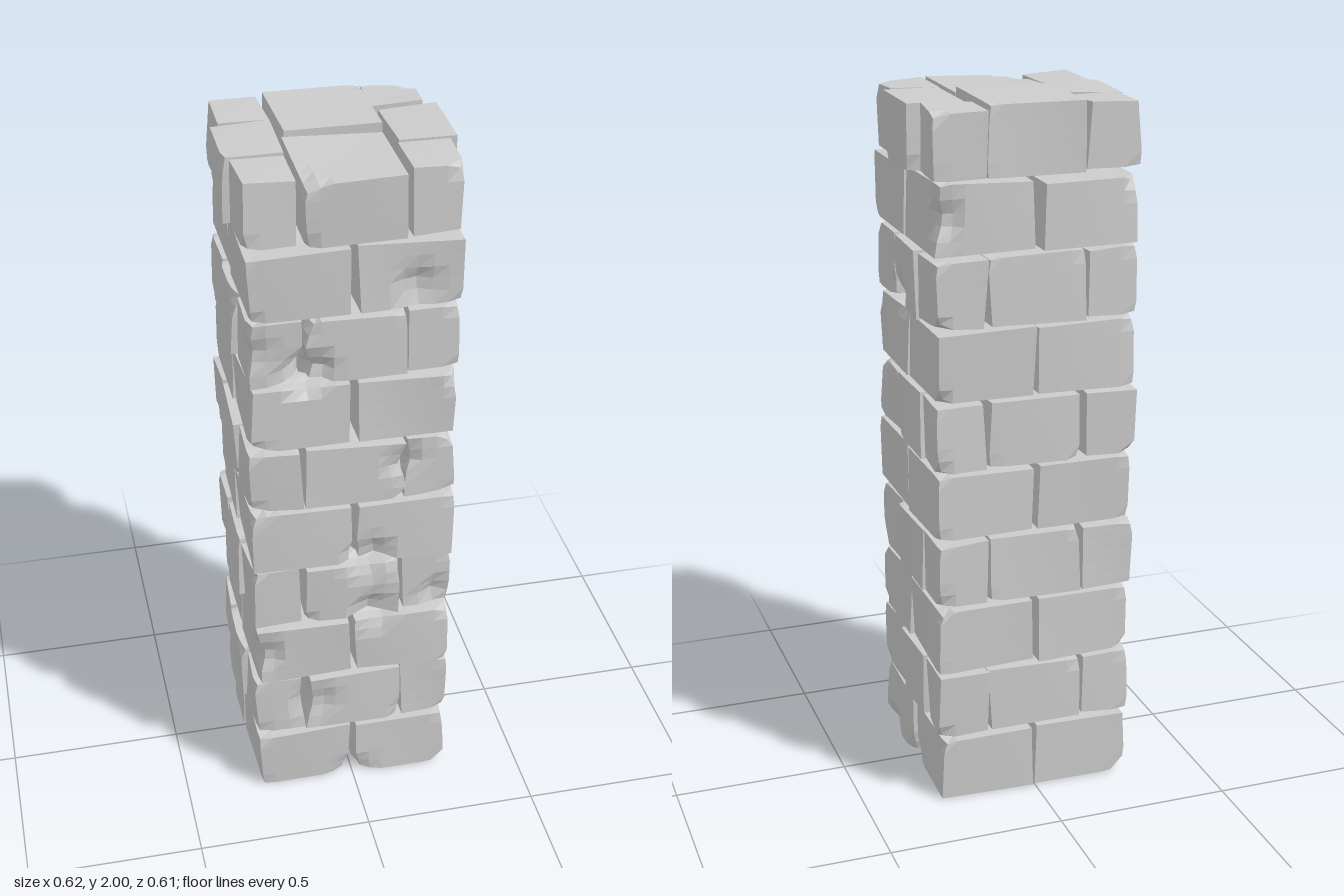
import * as THREE from 'three';

const COURSE = 0.2, GAP = 0.013;

// Small seeded generator so that every brick wears differently but repeatably
function seeded(seed) {
  let s = seed;
  return () => {
    s = (s * 1664525 + 1013904223) % 4294967296;
    return s / 4294967296;
  };
}

// Distinct broken spots: x, y, z, radius, depth
const CHIPS = [
  [-0.28, 0.5, 0.28, 0.08, 0.04], [0.0, 0.0, 0.28, 0.07, 0.03],
  [0.28, 0.0, 0.0, 0.06, 0.025], [0.28, 0.0, 0.22, 0.08, 0.03],
  [0.06, 0.61, 0.28, 0.08, 0.04], [0.14, 1.12, 0.28, 0.06, 0.035],
  [-0.13, 1.43, 0.28, 0.08, 0.05], [0.16, 1.66, 0.28, 0.07, 0.03],
  [0.28, 1.7, -0.28, 0.08, 0.04], [0.04, 0.81, 0.28, 0.08, 0.04],
  [0.28, 1.42, 0.05, 0.07, 0.04], [-0.12, 0.3, 0.28, 0.08, 0.03],
  [-0.28, 1.5, 0.28, 0.06, 0.03], [0.24, 0.64, 0.28, 0.06, 0.03],
].map(([x, y, z, r, d]) => ({ p: new THREE.Vector3(x, y, z), r, d }));

function createBrick(box, rand, material) {
  const size = box.getSize(new THREE.Vector3());
  const mid = box.getCenter(new THREE.Vector3());
  const seg = (v) => Math.max(3, Math.round(v / 0.04));
  const geo = new THREE.BoxGeometry(size.x, size.y, size.z, seg(size.x), seg(size.y), seg(size.z));

  // Uneven corners; lower faces stay level and joints stay open
  const corners = Array.from({ length: 8 }, () => new THREE.Vector3(
    (rand() - 0.5) * 0.016, (rand() - 0.5) * 0.012, (rand() - 0.5) * 0.016));
  if (box.min.y < 0.05) for (let i = 0; i < 4; i++) corners[i].y = 0;

  // Random corner cuts on the exposed edges, as planes facing outwards
  const cuts = [];
  for (let k = 0; k < 2; k++) {
    const sx = Math.abs(mid.x) > 0.1 ? Math.sign(mid.x) : (rand() < 0.5 ? -1 : 1);
    const sz = Math.abs(mid.z) > 0.06 ? Math.sign(mid.z) : (rand() < 0.5 ? -1 : 1);
    const sy = rand() < 0.5 ? -1 : 1;
    const n = new THREE.Vector3(sx * (0.25 + rand()), sy * (0.3 + rand()), sz * (0.25 + rand())).normalize();
    const corner = new THREE.Vector3(sx * size.x, sy * size.y, sz * size.z).multiplyScalar(0.5);
    cuts.push({ n, c: n.dot(corner) - 0.004 - 0.03 * rand() * rand() });
  }

  const pos = geo.attributes.position, v = new THREE.Vector3(), world = new THREE.Vector3();
  for (let i = 0; i < pos.count; i++) {
    v.fromBufferAttribute(pos, i);
    const tx = v.x / size.x + 0.5, ty = v.y / size.y + 0.5, tz = v.z / size.z + 0.5;
    for (const { n, c } of cuts) {
      const over = n.dot(v) - c;
      if (over > 0) v.addScaledVector(n, -over);
    }
    corners.forEach((off, k) => v.addScaledVector(off,
      (k & 4 ? ty : 1 - ty) * (k & 2 ? tx : 1 - tx) * (k & 1 ? tz : 1 - tz)));
    world.copy(v).add(mid);
    for (const { p, r, d } of CHIPS) {
      const near = 1 - world.distanceTo(p) / r;
      if (near > 0) v.addScaledVector(v.clone().normalize(), -d * near);
    }
    pos.setXYZ(i, v.x, v.y, v.z);
  }
  geo.computeVertexNormals();
  const mesh = new THREE.Mesh(geo, material);
  mesh.position.copy(mid);
  return mesh;
}

// Plan rectangles x0, x1, z0, z1 of the two alternating bonds
const QUARTERS = [];
for (const x of [-0.28, 0.008]) for (const z of [-0.28, 0.008]) QUARTERS.push([x, x + 0.272, z, z + 0.272]);

const MIXED = [
  [-0.134, 0.136, -0.28, -0.01], [-0.134, 0.136, 0.01, 0.283],
  [-0.287, -0.147, -0.28, -0.127], [-0.297, -0.152, -0.11, 0.095], [-0.287, -0.147, 0.108, 0.272],
  [0.147, 0.283, -0.287, -0.145], [0.15, 0.292, -0.132, 0.083], [0.147, 0.283, 0.097, 0.272],
];

export function createModel() {
  const pillar = new THREE.Group();
  pillar.name = 'brickPillar';
  const material = new THREE.MeshStandardMaterial({ color: 0xcccccc, flatShading: true });
  const rand = seeded(71);

  for (let row = 0; row < 10; row++) {
    const course = new THREE.Group();
    course.name = `course${row + 1}`;
    const plan = row % 2 ? MIXED : QUARTERS;
    plan.forEach(([x0, x1, z0, z1], i) => {
      const y0 = row * COURSE + (row ? 0.002 : 0);
      let y1 = (row + 1) * COURSE - GAP;
      const box = new THREE.Box3(new THREE.Vector3(x0, y0, z0), new THREE.Vector3(x1, y1, z1));
      // The crown ends a little unevenly
      if (row === 9) {
        box.max.y = i === 0 ? 1.994 : 1.98;
        if (i === 3) box.min.x -= 0.013;
        if (i === 6) box.max.x += 0.016;
        if (i === 4 || i === 7) box.max.z -= 0.012;
      }
      // Two bricks stand proud of the faces
      if (row === 8 && i === 0) box.min.z -= 0.022;
      if (row === 4 && i === 3) box.max.z += 0.016;
      const brick = createBrick(box, rand, material);
      brick.name = `brick${i + 1}`;
      course.add(brick);
    });
    pillar.add(course);
  }
  return pillar;
}
